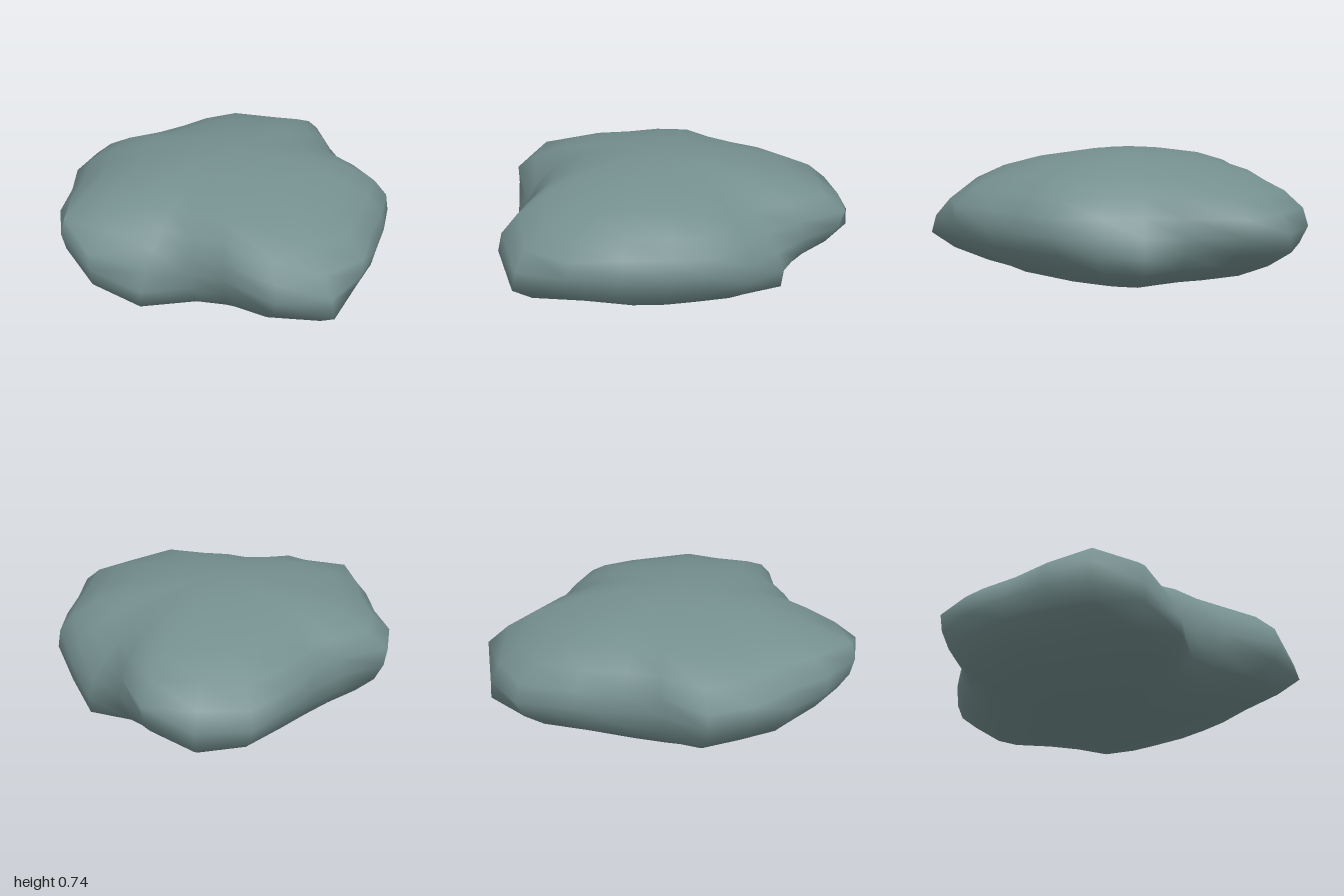
import * as THREE from 'three';
import { mergeVertices } from 'three/addons/utils/BufferGeometryUtils.js';

// Plan outline: one radius per 15 degrees, from +x turning towards +z
const OUTLINE = [
  0.86, 0.84, 0.86, 0.90, 0.89, 0.92, 1.00, 1.09, 1.02, 0.79, 0.75, 0.82,
  0.99, 0.99, 0.96, 0.93, 0.93, 0.95, 0.80, 0.79, 0.89, 1.05, 1.07, 1.01,
];
// Lean of each sector: positive bulges above the middle, negative below
const LEAN = [
  0, -0.14, -0.06, 0.03, 0.01, -0.01, 0.02, -0.10, 0.03, 0.01, -0.01, -0.11,
  0.02, 0.07, 0.08, 0.01, 0.05, 0.04, 0, 0, 0.03, 0.02, -0.04, 0.09,
];
// Single knobs: [sector, ring counted from the top, extra radius]
const KNOBS = [
  [1, 8, 0.03], [6, 4, 0.02], [6, 5, 0.03], [7, 7, 0.03], [11, 7, 0.03],
  [11, 8, 0.08], [12, 5, 0.03], [12, 7, 0.03], [13, 4, 0.10], [13, 5, 0.03],
  [16, 5, 0.03], [17, 5, 0.03], [22, 7, 0.03], [23, 5, 0.03],
];
const SECTORS = 24, RINGS = 12;
const HALF_HEIGHT = 0.369, CENTRE_Z = -0.07;

// Flattened sphere, pushed in and out sideways so the lobes fade to round poles
function boulderGeometry() {
  let geo = new THREE.SphereGeometry(1, SECTORS, RINGS);
  geo.deleteAttribute('uv');
  geo.deleteAttribute('normal');
  geo = mergeVertices(geo, 1e-4);
  const pos = geo.attributes.position;
  for (let i = 0; i < pos.count; i++) {
    const x = pos.getX(i), y = pos.getY(i), z = pos.getZ(i);
    const s = Math.hypot(x, z);
    const k = (Math.round(Math.atan2(z, x) / (Math.PI * 2) * SECTORS) + SECTORS) % SECTORS;
    const ring = Math.round(Math.atan2(s, y) / Math.PI * RINGS);
    const knob = KNOBS.find(([sector, row]) => sector === k && row === ring);
    const r = 1 + (OUTLINE[k] - 1) * Math.pow(s, 1.5) + LEAN[k] * y * s * 1.6 + (knob ? knob[2] : 0);
    pos.setXYZ(i, x * r, HALF_HEIGHT * (1 + y), z * r + CENTRE_Z);
  }
  geo.computeVertexNormals();
  return geo;
}

export function createModel() {
  const group = new THREE.Group();
  group.name = 'rock';
  const stone = new THREE.MeshStandardMaterial({ color: 0x758f8f });
  stone.name = 'greyGreenStone';
  const boulder = new THREE.Mesh(boulderGeometry(), stone);
  boulder.name = 'boulder';
  group.add(boulder);
  return group;
}
